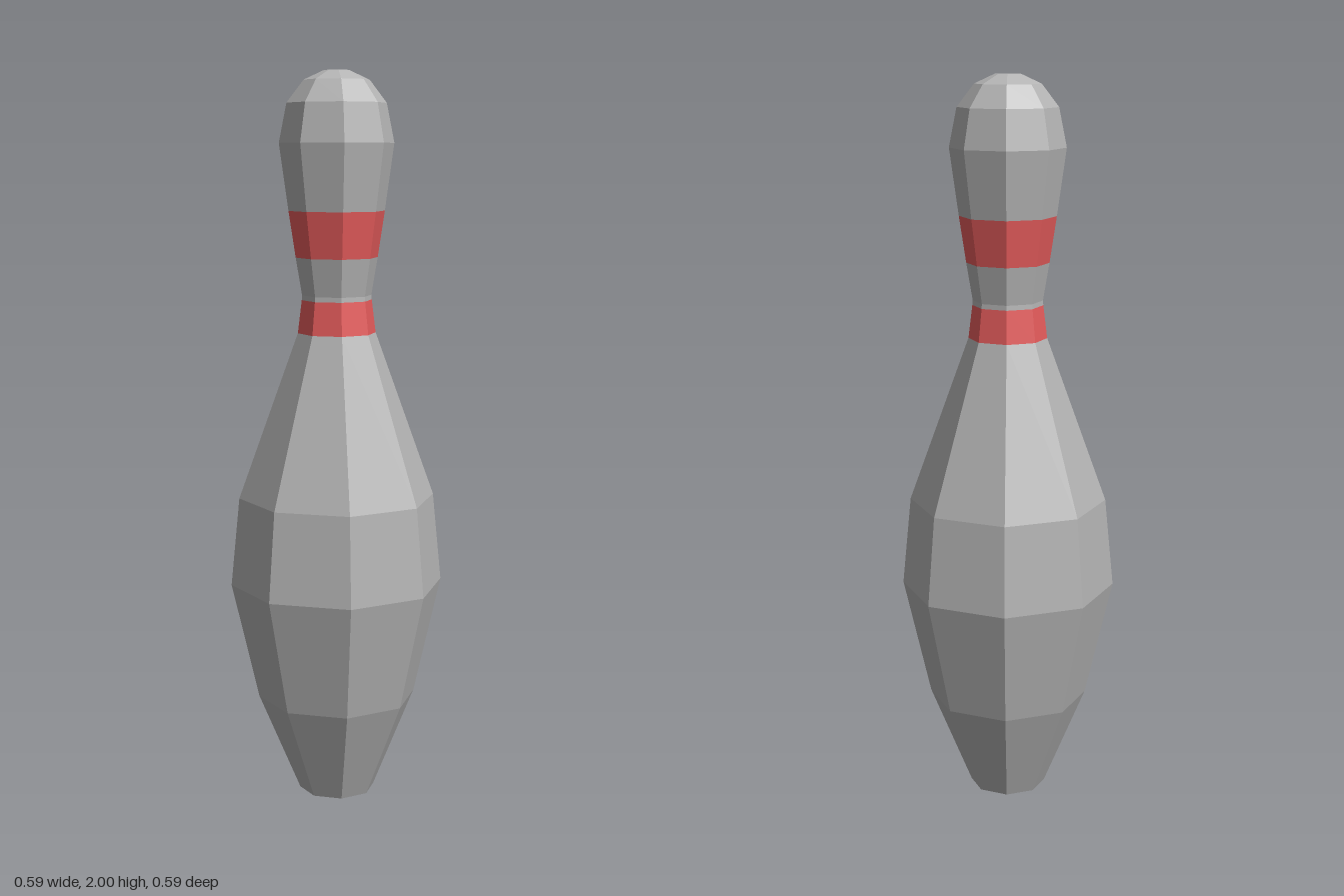
import * as THREE from 'three';

const SIDES = 8;

// Faceted ring section turned from [radius, height] points, bottom to top
function section(name, points, material) {
  const profile = points.map(([r, y]) => new THREE.Vector2(r, y));
  const mesh = new THREE.Mesh(new THREE.LatheGeometry(profile, SIDES), material);
  mesh.name = name;
  return mesh;
}

export function createModel() {
  const grey = new THREE.MeshStandardMaterial({ color: 0xb4b4b4 });
  grey.name = 'pinGrey';
  const red = new THREE.MeshStandardMaterial({ color: 0xe65c5c });
  red.name = 'stripeRed';
  grey.flatShading = red.flatShading = true;

  // Points shared where the stripes meet the body
  const lowStart = [0.107, 1.3], lowEnd = [0.096, 1.39];
  const highStart = [0.112, 1.505], highEnd = [0.131, 1.63];

  const pin = new THREE.Group();
  pin.name = 'bowlingPin';
  pin.add(
    // closed base, belly and shoulder
    section('body', [[0, 0], [0.105, 0], [0.22, 0.275], [0.295, 0.6], [0.271, 0.845], lowStart], grey),
    section('lowerStripe', [lowStart, lowEnd], red),
    // narrowest point of the pin
    section('neck', [lowEnd, [0.095, 1.403], highStart], grey),
    section('upperStripe', [highStart, highEnd], red),
    // rounded head with a small flat top
    section('head', [highEnd, [0.156, 1.81], [0.135, 1.915], [0.089, 1.975], [0.035, 2], [0, 2]], grey),
  );
  return pin;
}
